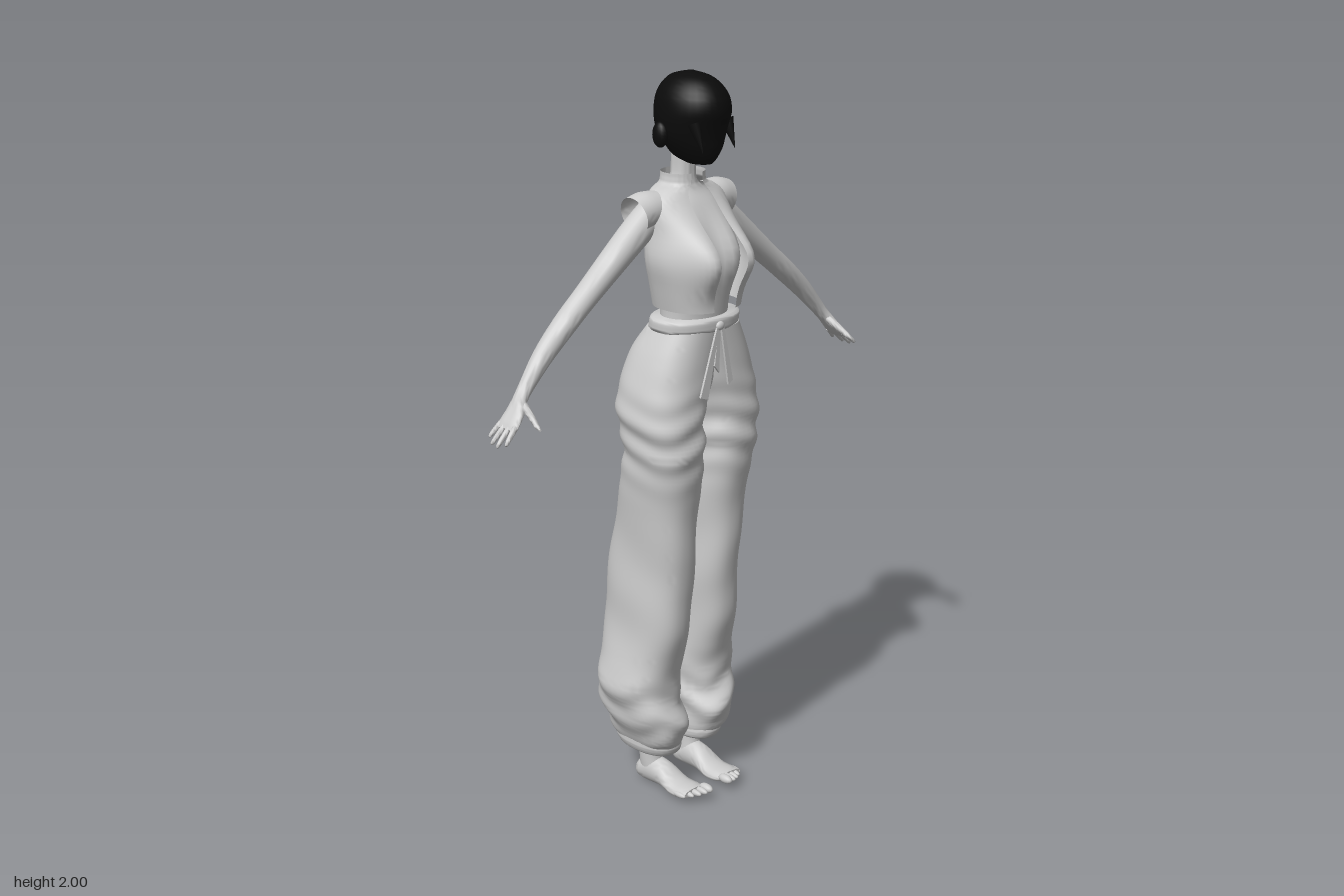
import * as THREE from 'three';
import { toCreasedNormals } from 'three/addons/utils/BufferGeometryUtils.js';

const X = new THREE.Vector3(1, 0, 0), Y = new THREE.Vector3(0, 1, 0), Z = new THREE.Vector3(0, 0, 1);

// Catmull-Rom blend of whole rows of numbers
function sampleRows(rows, t) {
  const last = rows.length - 1, i = Math.min(Math.floor(t), last - 1), f = t - i;
  const at = k => rows[Math.min(Math.max(k, 0), last)];
  return rows[i].map((_, k) => {
    const [a, b, c, d] = [at(i - 1)[k], at(i)[k], at(i + 1)[k], at(i + 2)[k]];
    return 0.5 * (2 * b + (c - a) * f + (2 * a - 5 * b + 4 * c - d) * f * f + (3 * b - a - 3 * c + d) * f * f * f);
  });
}

// Surface through superellipse rings; rows are [cx, cy, cz, radiusU, radiusV]
function loft(rows, U, V, { n = 2, seg = 32, steps = 4, from = 0, to = Math.PI * 2, caps = true, warp, side = 1 } = {}) {
  const rings = [];
  const count = (rows.length - 1) * steps;
  for (let i = 0; i <= count; i++) rings.push(sampleRows(rows, i / steps));
  if (caps) {
    const shut = r => [r[0], r[1], r[2], 0, 0];
    rings.unshift(shut(rings[0]));
    rings.push(shut(rings[rings.length - 1]));
  }
  const power = v => Math.sign(v) * Math.abs(v) ** (2 / n);
  const pos = [], index = [];
  for (const [cx, cy, cz, a, b] of rings) {
    for (let j = 0; j <= seg; j++) {
      const t = from + (to - from) * j / seg;
      const out = new THREE.Vector3().addScaledVector(U, a * power(Math.cos(t))).addScaledVector(V, b * power(Math.sin(t)));
      const p = new THREE.Vector3(cx, cy, cz).add(out);
      if (warp && a > 0) warp(p, out.normalize(), t);
      pos.push(p.x * side, p.y, p.z);
    }
  }
  const A = rows[0], B = rows[rows.length - 1];
  const along = new THREE.Vector3(B[0] - A[0], B[1] - A[1], B[2] - A[2]);
  const flip = new THREE.Vector3().crossVectors(U, V).dot(along) * side < 0;
  for (let i = 0; i < rings.length - 1; i++) {
    for (let j = 0; j < seg; j++) {
      const a = i * (seg + 1) + j, b = a + 1, c = b + seg + 1, d = a + seg + 1;
      if (flip) index.push(a, c, b, a, d, c);
      else index.push(a, b, c, a, c, d);
    }
  }
  const g = new THREE.BufferGeometry();
  g.setAttribute('position', new THREE.Float32BufferAttribute(pos, 3));
  g.setIndex(index);
  return toCreasedNormals(g, 1);
}

// Horizontal rings given as [y, xMin, xMax, zMin, zMax]
const stack = (rows, opts) => loft(rows.map(([y, x0, x1, z0, z1]) =>
  [(x0 + x1) / 2, y, (z0 + z1) / 2, (x1 - x0) / 2, (z1 - z0) / 2]), X, Z, opts);
// The same, symmetric about x = 0: [y, halfWidth, zMin, zMax]
const evenStack = (rows, opts) => stack(rows.map(([y, w, z0, z1]) => [y, -w, w, z0, z1]), opts);

const bell = (v, mid, width) => Math.exp(-(((v - mid) / width) ** 2));
const bust = amount => p => {
  const front = THREE.MathUtils.smoothstep(p.z, 0, 0.07);
  p.z += amount * front * bell(p.y, 1.54, 0.085) * (bell(p.x, 0.065, 0.05) + bell(p.x, -0.065, 0.05));
};

// Cloth folds, strongest at the thigh and above the cuff
function folds(p, out, t) {
  const f = 0.005 * Math.sin(p.y * 75 + Math.sin(t * 2) * 1.6) * bell(p.y, 1.06, 0.1)
    + 0.006 * Math.sin(p.y * 60 + Math.cos(t * 3) * 1.5) * bell(p.y, 0.24, 0.09)
    + 0.003 * Math.sin(p.y * 24 + t * 2) * bell(p.y, 0.65, 0.3);
  p.addScaledVector(out, f);
}

export function createModel() {
  const model = new THREE.Group();
  const grey = new THREE.MeshStandardMaterial({ color: 0xcccccc, side: THREE.DoubleSide });
  grey.name = 'light grey';
  const black = new THREE.MeshStandardMaterial({ color: 0x0b0b0b });
  black.name = 'black';
  const add = (name, geometry, material = grey) => {
    const m = new THREE.Mesh(geometry, material);
    m.name = name;
    model.add(m);
    return m;
  };
  const ball = (name, material, x, y, z, rx, ry, rz) => {
    const m = add(name, new THREE.SphereGeometry(1, 16, 12), material);
    m.position.set(x, y, z);
    m.scale.set(rx, ry, rz);
    return m;
  };

  // Head with bobbed hair
  add('head', evenStack([
    [1.77, 0.028, 0.02, 0.095], [1.785, 0.045, -0.025, 0.108], [1.81, 0.064, -0.045, 0.118],
    [1.84, 0.08, -0.064, 0.122], [1.87, 0.087, -0.074, 0.13], [1.905, 0.088, -0.078, 0.142],
    [1.94, 0.081, -0.072, 0.136], [1.968, 0.064, -0.056, 0.115], [1.988, 0.04, -0.03, 0.085],
    [2.0, 0.006, 0.02, 0.035]]), black);

  // Torso and neck
  add('torso', evenStack([
    [1.31, 0.1, -0.04, 0.11], [1.4, 0.098, -0.04, 0.115], [1.5, 0.11, -0.045, 0.11], [1.6, 0.11, -0.045, 0.085],
    [1.66, 0.1, -0.045, 0.06], [1.7, 0.055, -0.042, 0.035], [1.73, 0.034, -0.035, 0.03], [1.8, 0.033, -0.033, 0.032]],
    { warp: bust(0.05) }));

  // Open-fronted vest with standing collar
  add('vest', evenStack([
    [1.4, 0.112, -0.06, 0.152], [1.46, 0.125, -0.06, 0.142], [1.53, 0.139, -0.06, 0.128], [1.6, 0.13, -0.06, 0.1],
    [1.645, 0.128, -0.06, 0.08], [1.68, 0.12, -0.06, 0.062], [1.702, 0.092, -0.06, 0.052],
    [1.716, 0.062, -0.058, 0.05], [1.742, 0.058, -0.056, 0.05]],
    { n: 2.3, seg: 64, from: Math.PI / 2 + 0.3, to: Math.PI * 2.5 - 0.3, caps: false, warp: bust(0.07) }));

  // Waistband with knotted tie
  add('waistband', evenStack([
    [1.34, 0.124, -0.052, 0.128], [1.346, 0.129, -0.056, 0.132], [1.37, 0.129, -0.05, 0.132], [1.376, 0.122, -0.045, 0.126]],
    { n: 2.3 }));
  ball('tieKnot', grey, 0, 1.355, 0.134, 0.014, 0.012, 0.008);
  const ribbon = points => new THREE.ExtrudeGeometry(
    new THREE.Shape(points.map(p => new THREE.Vector2(...p))), { depth: 0.006, bevelEnabled: false });
  add('rightTie', ribbon([[-0.004, 1.355], [-0.045, 1.165], [-0.072, 1.175], [-0.012, 1.355]])).position.z = 0.131;
  add('leftTie', ribbon([[0.012, 1.355], [0.046, 1.2], [0.03, 1.19], [0.002, 1.355]])).position.z = 0.131;
  add('tieLoop', ribbon([[0, 1.352], [-0.004, 1.23], [-0.02, 1.25], [-0.008, 1.352]])).position.z = 0.13;

  for (const side of [1, -1]) {
    const word = side > 0 ? 'left' : 'right';

    // Hair over the ear, and a pointed lock beside the face
    ball(word + 'EarHair', black, side * 0.088, 1.845, 0.005, 0.016, 0.033, 0.024);
    const lock = add(word + 'HairLock', new THREE.ConeGeometry(0.018, 0.08, 10), black);
    lock.position.set(side * 0.057, 1.843, 0.112);
    lock.rotation.set(Math.PI - 0.4, 0, 0);

    // Cap sleeve
    add(word + 'Sleeve', loft([
      [0.07, 1.655, -0.008, 0.046, 0.048], [0.12, 1.655, -0.012, 0.049, 0.051], [0.16, 1.645, -0.015, 0.049, 0.049]],
      new THREE.Vector3(0.25, 0.97, 0), Z, { caps: false, side }));

    // Arm and palm
    const across = new THREE.Vector3(0.65, 0.76, 0);
    add(word + 'Arm', loft([
      [0.1, 1.645, -0.012, 0.043, 0.04], [0.17, 1.59, -0.016, 0.041, 0.04], [0.32, 1.47, -0.018, 0.032, 0.034],
      [0.4, 1.405, -0.018, 0.03, 0.032], [0.476, 1.337, -0.016, 0.026, 0.026], [0.545, 1.262, -0.01, 0.018, 0.02],
      [0.575, 1.225, -0.002, 0.014, 0.03], [0.6, 1.197, 0, 0.011, 0.036], [0.612, 1.184, 0, 0.007, 0.033]],
      across, Z, { seg: 24, side }));

    // Fingers and thumb
    [[-0.027, -0.036, 0.634, 1.162], [-0.009, -0.012, 0.648, 1.152], [0.009, 0.012, 0.651, 1.15], [0.027, 0.036, 0.643, 1.158]]
      .forEach(([z0, z1, x, y]) => add(word + 'Finger', loft([
        [0.602, 1.195, z0, 0.008, 0.008], [(0.602 + x) / 2, (1.197 + y) / 2, (z0 + z1) / 2, 0.007, 0.007],
        [x - 0.004, y + 0.004, z1, 0.005, 0.005], [x, y, z1, 0.002, 0.002]], across, Z, { seg: 10, side })));
    add(word + 'Thumb', loft([
      [0.56, 1.238, 0.01, 0.011, 0.012], [0.566, 1.218, 0.045, 0.009, 0.01], [0.571, 1.202, 0.07, 0.007, 0.008],
      [0.573, 1.194, 0.086, 0.003, 0.003]], X, Y, { seg: 10, side }));

    // Baggy trouser leg, joined to its twin above the crotch
    add(word + 'TrouserLeg', stack([
      [1.345, -0.06, 0.124, -0.055, 0.127], [1.28, -0.05, 0.158, -0.09, 0.128], [1.2, -0.035, 0.187, -0.105, 0.13],
      [1.12, 0, 0.2, -0.105, 0.134], [1.03, 0.006, 0.19, -0.088, 0.137], [0.95, 0.007, 0.182, -0.1, 0.128],
      [0.83, 0.008, 0.168, -0.135, 0.112], [0.7, 0.008, 0.165, -0.165, 0.1], [0.6, 0.008, 0.166, -0.182, 0.094],
      [0.5, 0.008, 0.17, -0.19, 0.083], [0.41, 0.008, 0.183, -0.186, 0.06], [0.33, 0.007, 0.2, -0.19, 0.046],
      [0.27, 0.008, 0.19, -0.195, 0.055], [0.21, 0.012, 0.168, -0.187, 0.076], [0.165, 0.015, 0.152, -0.178, 0.062],
      [0.14, 0.018, 0.138, -0.162, 0.045]],
      { n: 2.4, seg: 48, steps: 8, warp: folds, side }));
    add(word + 'Cuff', stack([
      [0.155, 0.018, 0.142, -0.165, 0.047], [0.14, 0.014, 0.143, -0.167, 0.049], [0.122, 0.016, 0.137, -0.158, 0.042],
      [0.115, 0.022, 0.13, -0.15, 0.034]], { n: 2.3, side }));

    // Ankle, bare foot and toes
    add(word + 'Ankle', stack([
      [0.045, 0.044, 0.1, -0.092, -0.01], [0.09, 0.045, 0.104, -0.09, -0.022], [0.18, 0.042, 0.108, -0.092, -0.02]],
      { seg: 20, side }));
    add(word + 'Foot', loft([
      [0.072, 0.03, -0.104, 0.012, 0.014], [0.072, 0.032, -0.09, 0.026, 0.029], [0.072, 0.042, -0.05, 0.03, 0.041],
      [0.071, 0.04, 0, 0.034, 0.036], [0.07, 0.023, 0.05, 0.042, 0.022], [0.07, 0.023, 0.09, 0.044, 0.018],
      [0.07, 0.027, 0.115, 0.038, 0.012]], X, Y, { seg: 24, side }));
    for (let i = 0; i < 5; i++) {
      const r = i === 0 ? 0.0125 : 0.0095 - i * 0.0004;
      ball(word + 'Toe', grey, side * (0.038 + i * 0.0175), 0.032 - i * 0.002, 0.128 - i * i * 0.0022, r, r, 0.024);
    }
  }
  return model;
}
